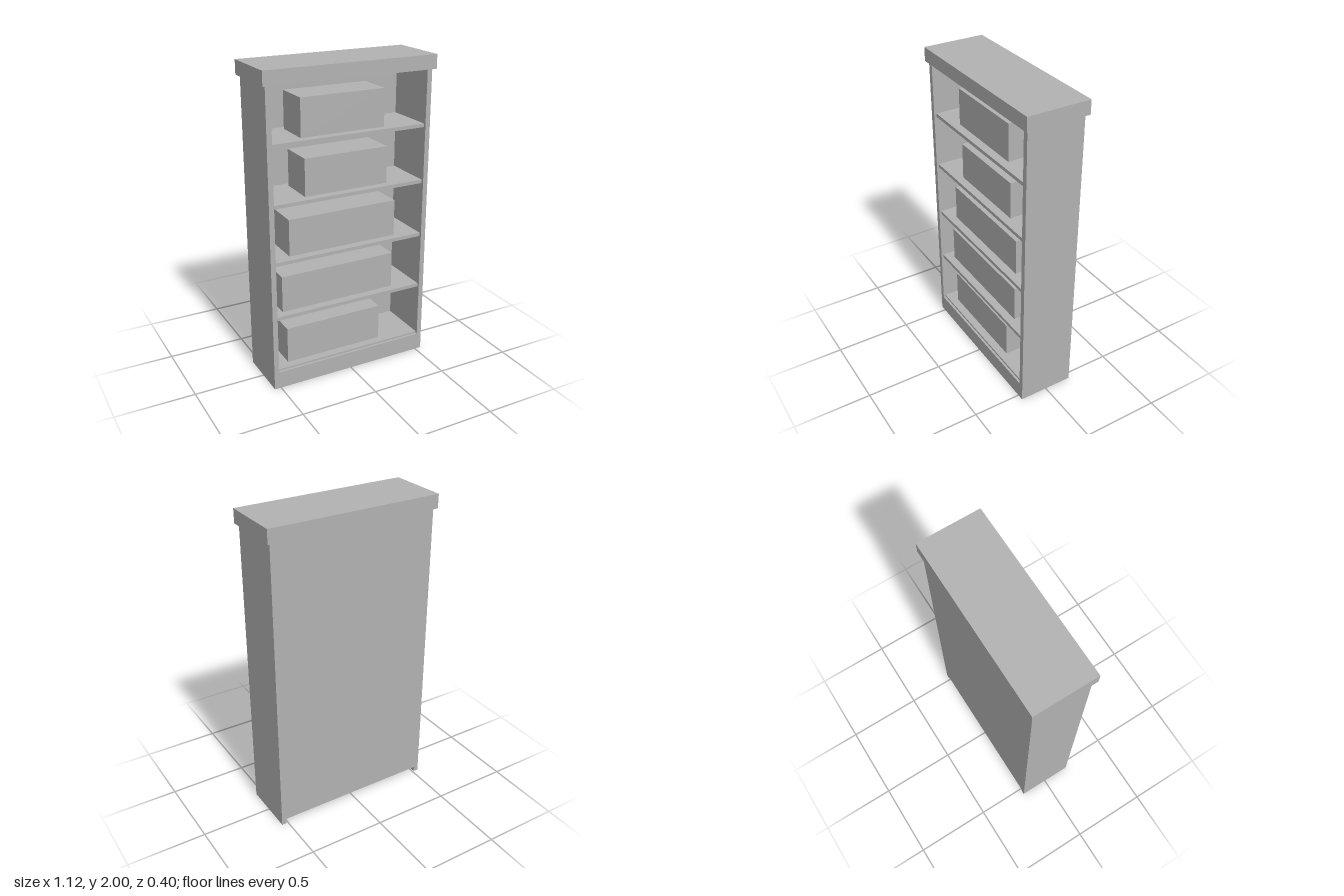
import * as THREE from 'three';

export function createModel() {
  const model = new THREE.Group();
  model.name = 'bookcase';
  const grey = new THREE.MeshStandardMaterial({ color: 0xb2b2b2 });
  grey.name = 'plain grey';

  // Adds a box given its extents along each axis
  function addBox(name, [x0, x1], [y0, y1], [z0, z1]) {
    const mesh = new THREE.Mesh(new THREE.BoxGeometry(x1 - x0, y1 - y0, z1 - z0), grey);
    mesh.position.set((x0 + x1) / 2, (y0 + y1) / 2, (z0 + z1) / 2);
    mesh.name = name;
    model.add(mesh);
  }

  const outer = 0.5425, inner = 0.51, front = 0.183, back = -0.182, bodyTop = 1.912;

  // Carcass
  addBox('topSlab', [-0.5625, 0.5625], [bodyTop, 2], [-0.2, 0.2]);
  addBox('leftSide', [inner, outer], [0, bodyTop], [back, front]);
  addBox('rightSide', [-outer, -inner], [0, bodyTop], [back, front]);
  addBox('backPanel', [-inner, inner], [0.035, bodyTop], [back, back + 0.02]);
  addBox('plinth', [-inner, inner], [0, 0.113], [front - 0.03, front]);

  // Shelves, each carrying one block of books, from the bottom up
  const bookSpans = [[-0.418, 0.245], [-0.445, 0.335], [-0.39, 0.345], [-0.28, 0.281], [-0.302, 0.255]];
  bookSpans.forEach((span, i) => {
    const y = 0.126 + i * 0.3625;
    addBox('shelf' + (i + 1), [-inner, inner], [y - 0.0225, y], [back + 0.02, front - 0.015]);
    addBox('bookBlock' + (i + 1), span, [y, y + 0.236], [-0.12, 0.115]);
  });

  return model;
}
